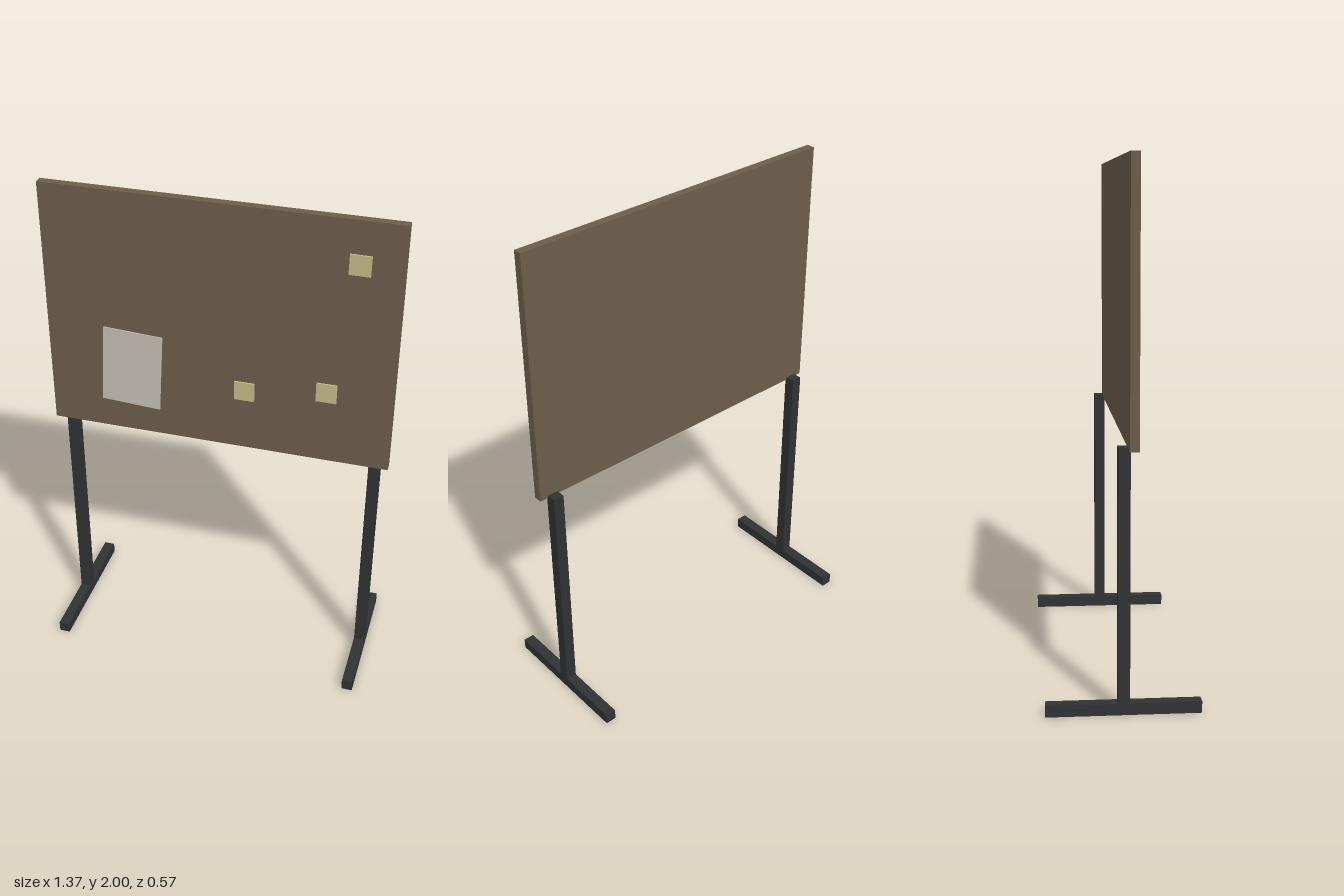
import * as THREE from 'three';

const material = (color) => new THREE.MeshStandardMaterial({ color });

function box(name, size, position, mat) {
  const mesh = new THREE.Mesh(new THREE.BoxGeometry(...size), mat);
  mesh.name = name;
  mesh.position.set(...position);
  return mesh;
}

export function createModel() {
  const group = new THREE.Group();
  group.name = 'pinboardStand';
  const boardMat = material(0x6b5d4b);
  const metalMat = material(0x303234);
  const paperMat = material(0xc4c0b4);
  const noteMat = material(0xc6ba8a);

  // Board panel, mounted just in front of the posts
  const boardFront = 0.05;
  group.add(box('board', [1.37, 1.025, 0.034], [0, 1.4875, boardFront - 0.017], boardMat));

  // Two T-shaped legs
  const bar = 0.044;
  for (const [side, s] of [['left', 1], ['right', -1]]) {
    const leg = new THREE.Group();
    leg.name = side + 'Leg';
    leg.position.x = s * 0.628;
    leg.add(box('post', [bar, 0.985 - bar, bar], [0, (0.985 + bar) / 2, 0], metalMat));
    leg.add(box('foot', [bar, bar, 0.57], [0, bar / 2, 0], metalMat));
    group.add(leg);
  }

  // Pinned sheet, slightly askew
  const sheet = box('paperSheet', [0.24, 0.33, 0.004], [-0.345, 1.26, boardFront + 0.002], paperMat);
  sheet.rotation.z = -0.055;
  group.add(sheet);

  // Sticky notes
  const notes = [[0.525, 1.83, -0.01], [0.11, 1.235, 0], [0.43, 1.283, 0]];
  notes.forEach(([x, y, turn], i) => {
    const note = box('stickyNote' + (i + 1), [0.08, 0.08, 0.006], [x, y, boardFront + 0.003], noteMat);
    note.rotation.z = turn;
    group.add(note);
  });

  return group;
}
